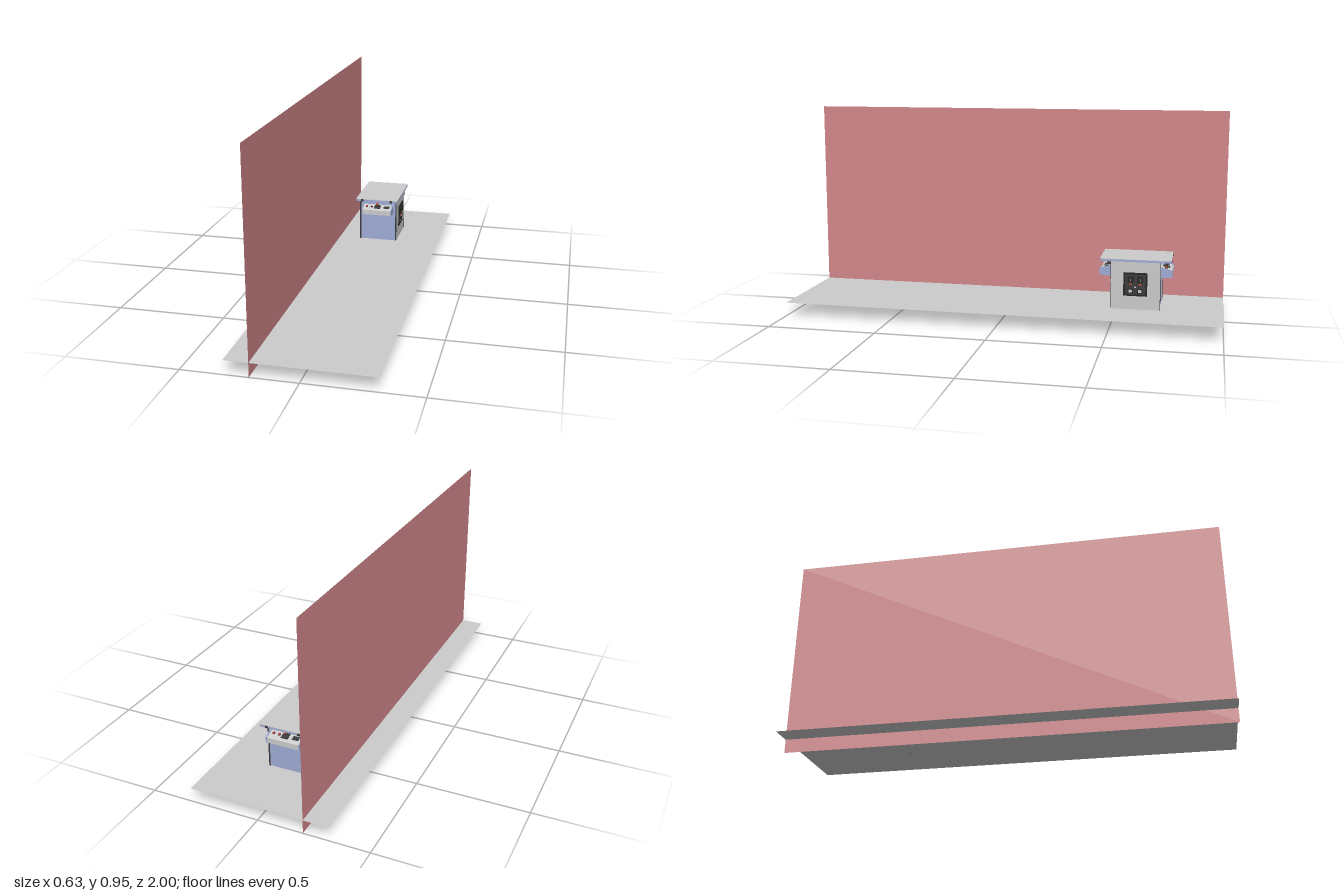
import * as THREE from 'three';

const mat = (color, side = THREE.FrontSide) => new THREE.MeshStandardMaterial({ color, side });
const grey = mat(0xcccccc), blue = mat(0x9fabd6), dark = mat(0x3a3a3a), black = mat(0x222222), red = mat(0xc8453c);

const CZ = -0.605; // cabinet centre in z
const FLOOR = 0.063; // floor height

function add(parent, name, geometry, material, x = 0, y = 0, z = 0) {
  const mesh = new THREE.Mesh(geometry, material);
  mesh.name = name;
  mesh.position.set(x, y, z);
  parent.add(mesh);
  return mesh;
}
const box = (w, h, d) => new THREE.BoxGeometry(w, h, d);

// Flat slab with rounded corners, lying in xz, base at y = 0
function slab(w, d, h, r) {
  const s = new THREE.Shape(), x = w / 2, z = d / 2;
  s.moveTo(-x + r, -z);
  s.lineTo(x - r, -z).quadraticCurveTo(x, -z, x, -z + r);
  s.lineTo(x, z - r).quadraticCurveTo(x, z, x - r, z);
  s.lineTo(-x + r, z).quadraticCurveTo(-x, z, -x, z - r);
  s.lineTo(-x, -z + r).quadraticCurveTo(-x, -z, -x + r, -z);
  const g = new THREE.ExtrudeGeometry(s, { depth: h, bevelEnabled: false, curveSegments: 4 });
  return g.rotateX(-Math.PI / 2);
}

// Side profile [outward, y] extruded along x and centred
function prism(points, width) {
  const s = new THREE.Shape(points.map(([d, y]) => new THREE.Vector2(d, y)));
  const g = new THREE.ExtrudeGeometry(s, { depth: width, bevelEnabled: false });
  return g.translate(0, 0, -width / 2).rotateY(-Math.PI / 2);
}

// One player's controls, growing outward along +z from the cabinet face
function controlPanel() {
  const g = new THREE.Group();
  g.name = 'controlPanel';
  add(g, 'panelHousing', prism([[0, 0.212], [0.054, 0.215], [0.054, 0.24], [0.046, 0.244], [0, 0.256]], 0.148), grey);
  for (const s of [-1, 1])
    add(g, 'panelEnd', prism([[0, 0.21], [0.056, 0.214], [0.056, 0.243], [0.047, 0.248], [0, 0.262]], 0.005), blue, s * 0.0765);

  // Fittings sit on the sloping deck
  const deck = new THREE.Group();
  deck.name = 'deck';
  deck.position.set(0, 0.2495, 0.025);
  deck.rotation.x = Math.atan2(0.012, 0.046);
  g.add(deck);
  add(deck, 'stickPlate', box(0.032, 0.003, 0.032), dark, 0, 0.001, 0);
  add(deck, 'stickShaft', new THREE.CylinderGeometry(0.0022, 0.0022, 0.018, 10), dark, 0, 0.01, 0);
  add(deck, 'stickBall', new THREE.SphereGeometry(0.007, 16, 12), red, 0, 0.02, 0);
  for (const x of [-0.056, -0.03]) {
    add(deck, 'buttonRing', new THREE.CylinderGeometry(0.0065, 0.0065, 0.003, 16), dark, x, 0.001, 0);
    add(deck, 'button', new THREE.CylinderGeometry(0.0048, 0.0048, 0.007, 16), red, x, 0.002, 0);
  }
  add(deck, 'instructionCard', box(0.03, 0.001, 0.022), dark, 0.048, 0.0005, 0);
  return g;
}

// Coin door facing +x
function coinDoor() {
  const g = new THREE.Group();
  g.name = 'coinDoor';
  add(g, 'doorFrame', box(0.005, 0.108, 0.108), black, 0.001);
  add(g, 'doorPanel', box(0.004, 0.092, 0.092), dark, 0.003);
  for (const s of [-1, 1]) {
    add(g, 'coinSlotPlate', box(0.004, 0.03, 0.026), black, 0.006, 0.022, s * 0.022);
    add(g, 'coinSlot', box(0.001, 0.014, 0.003), grey, 0.0082, 0.022, s * 0.022);
    add(g, 'rejectButton', box(0.003, 0.008, 0.012), red, 0.0065, 0.001, s * 0.022);
    add(g, 'returnCup', box(0.004, 0.02, 0.024), black, 0.006, -0.03, s * 0.022);
    add(g, 'returnFlap', box(0.001, 0.012, 0.016), grey, 0.0082, -0.03, s * 0.022);
  }
  const lock = add(g, 'lock', new THREE.CylinderGeometry(0.004, 0.004, 0.004, 12), grey, 0.006, -0.012, 0);
  lock.rotation.z = Math.PI / 2;
  return g;
}

export function createModel() {
  const model = new THREE.Group();
  model.name = 'tableInRoom';

  // Floor and wall are single thin sheets
  const floor = add(model, 'floor', new THREE.PlaneGeometry(0.63, 2), mat(0xcccccc, THREE.DoubleSide), 0, FLOOR, 0);
  floor.rotation.x = -Math.PI / 2;
  const wall = add(model, 'wall', new THREE.PlaneGeometry(2, 0.95), mat(0xd0868a, THREE.DoubleSide), -0.207, 0.475, 0);
  wall.rotation.y = Math.PI / 2;

  const table = new THREE.Group();
  table.name = 'gameTable';
  table.position.z = CZ;
  model.add(table);

  // Cabinet
  const h = 0.285 - FLOOR, mid = FLOOR + h / 2;
  add(table, 'cabinetBody', box(0.184, h, 0.218), blue, 0, mid, 0);
  for (const s of [-1, 1]) {
    add(table, 'sidePanel', box(0.005, h, 0.225), grey, s * 0.0945, mid, 0);
    for (const z of [-1, 1])
      add(table, 'edgeTrim', box(0.006, h, 0.002), dark, s * 0.0945, mid, z * 0.1125);
  }

  // Table top with glass sheet and edge clips
  add(table, 'topBoard', slab(0.216, 0.32, 0.0095, 0.007), blue, 0, 0.285, 0);
  add(table, 'topGlass', slab(0.218, 0.322, 0.0025, 0.008), grey, 0, 0.2945, 0);
  for (const z of [-1, 1])
    for (const x of [-0.075, 0.075])
      add(table, 'glassClip', box(0.012, 0.011, 0.003), dark, x, 0.2905, z * 0.161);

  // A control panel at each end, turned to face its player
  for (const turn of [0, Math.PI]) {
    const side = new THREE.Group();
    side.name = 'playerSide';
    const panel = controlPanel();
    panel.position.z = 0.109;
    side.add(panel);
    side.rotation.y = turn;
    table.add(side);
  }

  const door = coinDoor();
  door.position.set(0.097, 0.18, 0);
  table.add(door);

  // Vent grille on the other side
  for (let i = 0; i < 6; i++)
    add(table, 'ventSlat', box(0.003, 0.006, 0.08), dark, -0.0975, 0.14 + i * 0.014, 0);

  return model;
}
